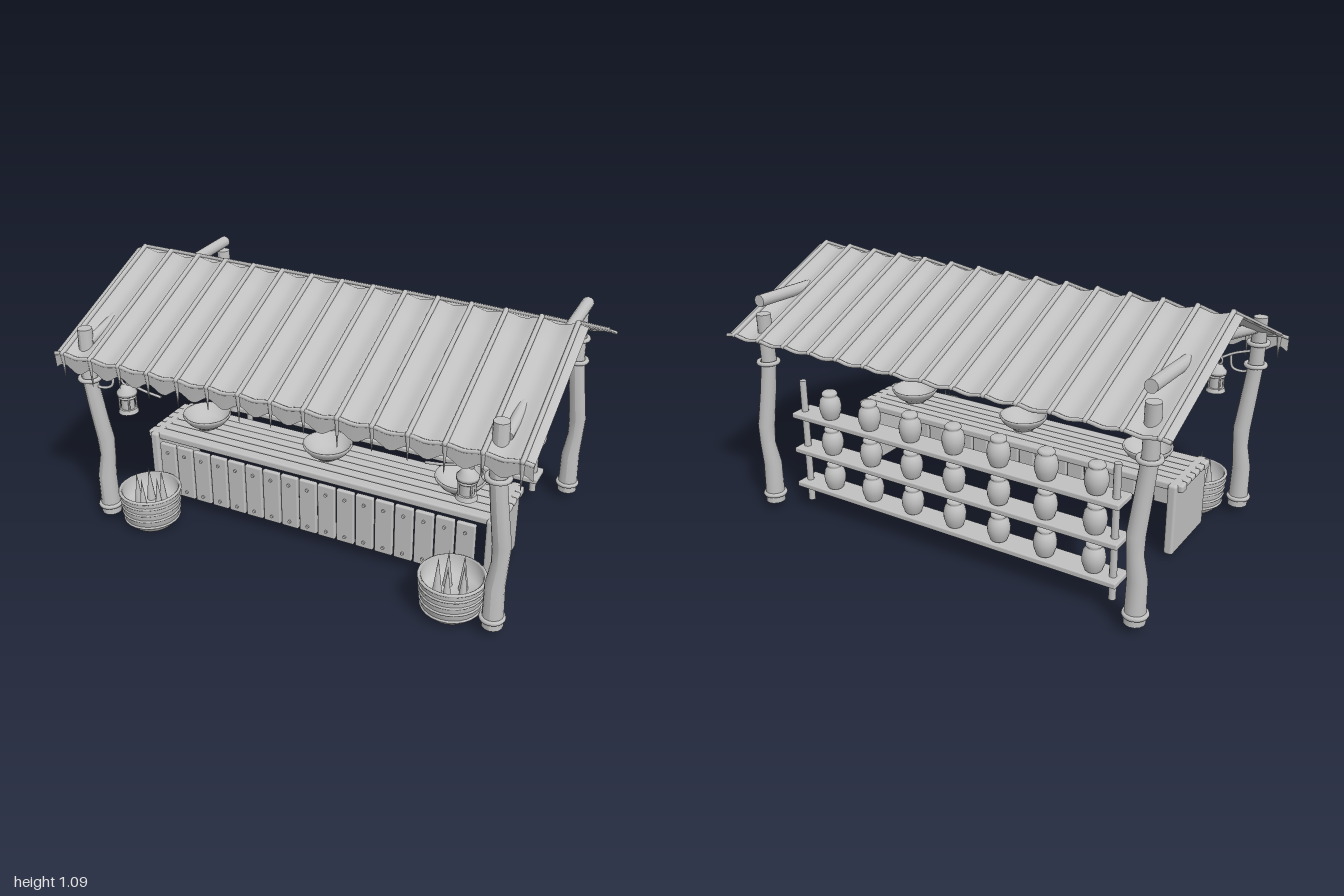
import * as THREE from 'three';
import { RoundedBoxGeometry } from 'three/addons/geometries/RoundedBoxGeometry.js';

const grey = new THREE.MeshStandardMaterial({ color: 0xc0c0c0 });
grey.name = 'plain grey';
const greySheet = grey;
greySheet.side = THREE.DoubleSide;

const V = (x, y, z) => new THREE.Vector3(x, y, z);

export function createModel() {
  const root = new THREE.Group();
  root.name = 'marketStall';

  const add = (name, geo, x = 0, y = 0, z = 0, parent = root) => {
    const m = new THREE.Mesh(geo, grey);
    m.name = name;
    m.position.set(x, y, z);
    parent.add(m);
    return m;
  };
  const box = (w, h, d, r = 0.006) => new RoundedBoxGeometry(w, h, d, 2, r);
  const lathe = (pts, seg = 20) => new THREE.LatheGeometry(pts.map(p => new THREE.Vector2(...p)), seg);
  const ring = (r, t) => new THREE.TorusGeometry(r, t, 8, 24).rotateX(Math.PI / 2);
  const tube = (pts, r, seg = 24) => new THREE.TubeGeometry(new THREE.CatmullRomCurve3(pts), seg, r, 8);
  const rod = (name, a, b, r0, r1 = r0, sides = 12) => {
    const m = add(name, new THREE.CylinderGeometry(r1, r0, a.distanceTo(b), sides));
    m.position.copy(a).lerp(b, 0.5);
    m.quaternion.setFromUnitVectors(V(0, 1, 0), b.clone().sub(a).normalize());
    return m;
  };

  // Crooked corner posts: levels of [y, x shift, z shift, radius], top first
  const levels = [
    [0.905, -0.022, -0.003, 0.03], [0.7, -0.016, 0.01, 0.032], [0.55, -0.002, 0.002, 0.034],
    [0.4, 0.012, -0.012, 0.036], [0.32, 0.01, -0.016, 0.033], [0.22, 0, -0.008, 0.039], [0.037, 0.002, -0.008, 0.042],
  ];
  const postGeo = new THREE.CylinderGeometry(1, 1, 1, 14, levels.length - 1);
  const pp = postGeo.attributes.position;
  for (let i = 0; i < pp.count; i++) {
    const [y, dx, dz, r] = levels[Math.round((0.5 - pp.getY(i)) * (levels.length - 1))];
    pp.setXYZ(i, pp.getX(i) * r + dx, y, pp.getZ(i) * r + dz);
  }
  postGeo.computeVertexNormals();
  for (const x of [-0.877, 0.877]) for (const z of [0.525, -0.525]) {
    add('cornerPost', postGeo, x, 0, z);
    add('postBinding', ring(0.04, 0.01), x - 0.019, 0.79, z + 0.004);
    add('postBinding', ring(0.041, 0.01), x - 0.015, 0.69, z + 0.008);
    add('postBinding', ring(0.042, 0.01), x, 0.075, z - 0.008);
  }

  // Bent side beams
  for (const x of [-0.883, 0.878]) {
    const a = V(x, 0.85, 0.52), b = V(x, 0.935, 0.14), c = V(x, 0.953, -0.522);
    rod('sideBeam', a, b, 0.02, 0.025);
    rod('sideBeam', b, c, 0.025, 0.026);
    add('beamJoint', new THREE.SphereGeometry(0.025, 12, 8), b.x, b.y, b.z);
  }

  // Roof sheet sagging between the ribs
  const pitch = 0.1371, ribs = 14;
  const sag = x => 0.5 - 0.5 * Math.cos((x / pitch) * Math.PI * 2);
  const roofY = z => 1.075 - Math.abs(z) * 0.437;
  const roof = new THREE.PlaneGeometry(2, 1.21, 112, 12).rotateX(-Math.PI / 2);
  const rp = roof.attributes.position;
  for (let i = 0; i < rp.count; i++) {
    const x = rp.getX(i), z = rp.getZ(i);
    rp.setY(i, roofY(z) - 0.014 * sag(x));
  }
  roof.computeVertexNormals();
  add('roofSheet', roof);

  // Ribs, with pointed tails at the front eave
  for (let i = -ribs / 2; i <= ribs / 2; i++) {
    const x = i * pitch, top = V(x, 1.079, 0);
    for (const s of [1, -1]) {
      const end = V(x, roofY(0.602) + 0.003, s * 0.602);
      rod('roofRib', end, top, 0.01, 0.01, 8);
      add('ribEnd', new THREE.SphereGeometry(0.011, 8, 6), end.x, end.y, end.z);
    }
    add('ridgeCap', new THREE.SphereGeometry(0.011, 8, 6), x, 1.079, 0);
    rod('ribTail', V(x, 0.81, 0.6), V(x, 0.705 + 0.012 * Math.sin(i * 2.3), 0.601), 0.01, 0.001, 8);
  }

  // Wavy cords along the eaves
  for (const s of [1, -1]) {
    const pts = [];
    for (let i = 0; i <= 56; i++) {
      const x = -1 + i / 28;
      pts.push(V(x, roofY(0.6) - 0.01 * sag(x), s * 0.6));
    }
    add('eaveCord', tube(pts, 0.008, 112));
  }

  // Scalloped front valance
  const valance = new THREE.PlaneGeometry(2, 1, 112, 3);
  const vp = valance.attributes.position;
  for (let i = 0; i < vp.count; i++) {
    const x = vp.getX(i), t = 0.5 - vp.getY(i);
    const top = roofY(0.605) - 0.012 * sag(x);
    const bottom = 0.765 - 0.033 * sag(x);
    vp.setXYZ(i, x, top + (bottom - top) * t, 0.604 - 0.004 * t);
  }
  valance.computeVertexNormals();
  add('valance', valance);

  // Counter: end panels, top slats and nailed front planks
  for (const s of [-1, 1]) add('counterEnd', box(0.04, 0.315, 0.325, 0.012), s * 0.78, 0.178, 0.138);
  [0.258, 0.206, 0.158, 0.111, 0.067, 0.02].forEach((z, i) => {
    const outer = i === 0 || i === 5;
    add('counterSlat', box(1.64, outer ? 0.034 : 0.024, outer ? 0.05 : 0.043, 0.009), 0, outer ? 0.318 : 0.324, z);
  });
  const nail = new THREE.CylinderGeometry(0.007, 0.007, 0.008, 8).rotateX(Math.PI / 2);
  for (let i = -8; i <= 8; i++) {
    const x = i * 0.0864 - 0.004;
    add('frontPlank', box(0.079, 0.25, 0.022), x, 0.185, 0.31);
    for (const y of [0.09, 0.27]) add('plankNail', nail, x, y, 0.324);
  }

  // Bowls on the counter
  const bowl = lathe([[0, 0], [0.05, 0], [0.056, 0.008], [0.083, 0.026], [0.1, 0.047], [0.106, 0.058],
    [0.105, 0.066], [0.098, 0.064], [0.09, 0.046], [0.06, 0.02], [0, 0.012]], 28);
  for (const x of [-0.6, 0, 0.595]) add('bowl', bowl, x, 0.338, 0.137);

  // Rear shelves with uprights and jars
  const jar = lathe([[0, 0], [0.03, 0], [0.035, 0.006], [0.045, 0.035], [0.047, 0.06], [0.042, 0.085],
    [0.031, 0.098], [0.029, 0.103], [0.033, 0.106], [0.033, 0.114], [0.027, 0.121], [0, 0.121]]);
  for (const y of [0.453, 0.29, 0.126]) {
    add('shelf', box(1.55, 0.025, 0.115), 0, y, -0.438);
    for (let i = 0; i < 7; i++) add('jar', jar, -0.66 + i * 0.2095, y + 0.0125, -0.447);
  }
  for (const s of [-1, 1]) add('shelfUpright', new THREE.CylinderGeometry(0.015, 0.015, 0.565, 10), s * 0.742, 0.3225, -0.447);

  // Woven baskets filled with pointed goods
  const basket = lathe([[0, 0], [0.085, 0], [0.093, 0.008], [0.117, 0.04], [0.124, 0.1], [0.13, 0.17],
    [0.127, 0.178], [0.12, 0.172], [0.113, 0.09], [0, 0.08]], 28);
  for (const s of [-1, 1]) {
    const g = new THREE.Group();
    g.name = 'basket';
    g.position.set(s * 0.695, 0, 0.467);
    root.add(g);
    add('basketBody', basket, 0, 0, 0, g);
    [[0.04, 0.117], [0.075, 0.121], [0.108, 0.124], [0.14, 0.127], [0.17, 0.129]].forEach(([y, r]) =>
      add('basketBand', ring(r, 0.006), 0, y, 0, g));
    for (let i = 0; i < 5; i++) {
      const a = (i / 5) * Math.PI * 2 + 0.3;
      add('pointedGood', new THREE.ConeGeometry(0.02, 0.165, 10), Math.cos(a) * 0.055, 0.163, Math.sin(a) * 0.055, g);
    }
  }

  // Lanterns hanging from twigs on the front posts
  for (const s of [-1, 1]) {
    const px = s * 0.877 - 0.018;
    add('lanternTwig', tube([V(px, 0.755, 0.53), V(s * 0.8, 0.728, 0.515), V(s * 0.745, 0.7, 0.5),
      V(s * 0.67, 0.668, 0.495), V(s * 0.575, 0.65, 0.49)], 0.006));
    add('twigBrace', tube([V(px, 0.67, 0.535), V(s * 0.84, 0.652, 0.525), V(s * 0.8, 0.665, 0.515), V(s * 0.79, 0.72, 0.51)], 0.006));
    const g = new THREE.Group();
    g.name = 'lantern';
    g.position.set(s * 0.74, 0.552, 0.497);
    root.add(g);
    add('lanternBase', new THREE.CylinderGeometry(0.036, 0.042, 0.018, 16), 0, 0.009, 0, g);
    add('lanternGlass', new THREE.CylinderGeometry(0.028, 0.028, 0.075, 16), 0, 0.05, 0, g);
    add('lanternCap', lathe([[0, 0.08], [0.042, 0.08], [0.042, 0.092], [0.028, 0.108], [0.02, 0.122], [0, 0.124]]), 0, 0, 0, g);
    add('lanternBand', ring(0.033, 0.005), 0, 0.07, 0, g);
    add('lanternHandle', new THREE.TorusGeometry(0.02, 0.005, 8, 20), 0, 0.14, 0, g);
    for (let i = 0; i < 4; i++) {
      const a = (i + 0.5) * Math.PI / 2;
      add('lanternBar', new THREE.CylinderGeometry(0.004, 0.004, 0.07, 6), Math.cos(a) * 0.034, 0.048, Math.sin(a) * 0.034, g);
    }
  }

  return root;
}
